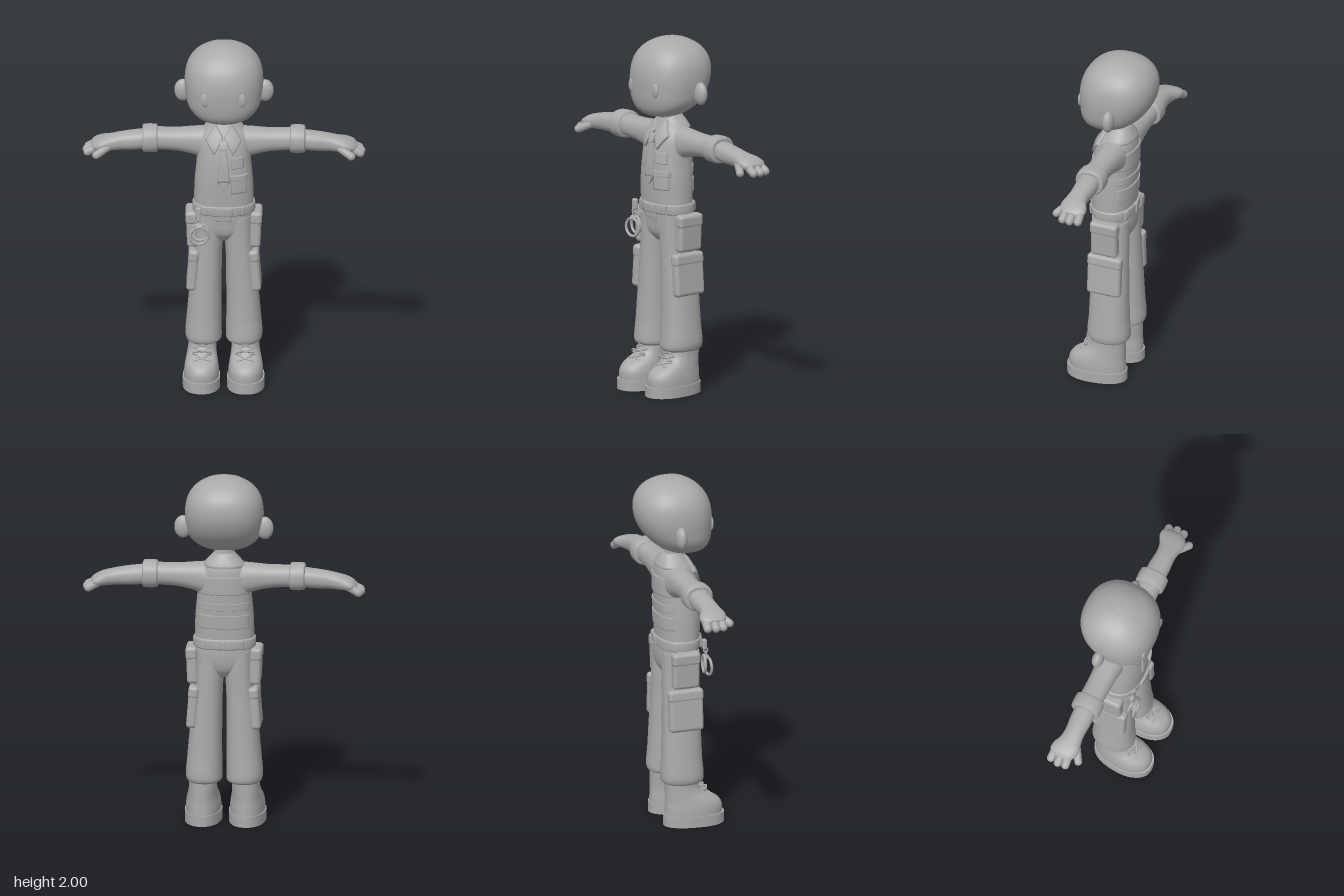
import * as THREE from 'three';
import { RoundedBoxGeometry } from 'three/addons/geometries/RoundedBoxGeometry.js';

const P = 2.3; // roundness of the oval cross-sections

// Smoothly read a section list [t, u0, u1, v0, v1] at position t
function sample(S, t) {
  let i = 0;
  while (i < S.length - 2 && t > S[i + 1][0]) i++;
  const slope = (k, c) => {
    const a = S[Math.max(k - 1, 0)], b = S[Math.min(k + 1, S.length - 1)];
    return (b[c] - a[c]) / (b[0] - a[0]);
  };
  const h = S[i + 1][0] - S[i][0], f = Math.min(1, Math.max(0, (t - S[i][0]) / h)), g = 1 - f;
  return [1, 2, 3, 4].map(c => S[i][c] * (1 + 2 * f) * g * g + S[i + 1][c] * f * f * (3 - 2 * f)
    + h * f * g * (slope(i, c) * g - slope(i + 1, c) * f));
}

// Closed body through oval sections; along 'y' (u = x, v = z) or 'x' (u = z, v = y)
function loft(S, axis = 'y', n = 40, steps = 4) {
  const pos = [], idx = [], ts = [S[0][0]];
  for (let i = 1; i < S.length; i++)
    for (let k = 1; k <= steps; k++) ts.push(S[i - 1][0] + (S[i][0] - S[i - 1][0]) * k / steps);
  const put = (t, u, v) => axis === 'y' ? pos.push(u, t, v) : pos.push(t, v, u);
  const bend = c => Math.sign(c) * Math.abs(c) ** (2 / P);
  const ring = t => {
    const [u0, u1, v0, v1] = sample(S, t);
    for (let j = 0; j < n; j++) {
      const a = j / n * Math.PI * 2;
      put(t, (u0 + u1) / 2 + (u1 - u0) / 2 * bend(Math.cos(a)), (v0 + v1) / 2 + (v1 - v0) / 2 * bend(Math.sin(a)));
    }
  };
  ts.forEach(ring);
  for (let i = 0; i < ts.length - 1; i++)
    for (let j = 0; j < n; j++) {
      const a = i * n + j, b = i * n + (j + 1) % n;
      idx.push(a, a + n, b, b, a + n, b + n);
    }
  for (const end of [0, 1]) { // sharp caps
    const t = ts[end ? ts.length - 1 : 0], s = pos.length / 3, q = sample(S, t);
    ring(t);
    put(t, (q[0] + q[1]) / 2, (q[2] + q[3]) / 2);
    for (let j = 0; j < n; j++) {
      const a = s + j, b = s + (j + 1) % n;
      end ? idx.push(a, s + n, b) : idx.push(a, b, s + n);
    }
  }
  return build(pos, idx);
}

function build(pos, idx) {
  const g = new THREE.BufferGeometry();
  g.setAttribute('position', new THREE.Float32BufferAttribute(pos, 3));
  g.setIndex(idx);
  g.computeVertexNormals();
  return g;
}

// Depth of a lofted body's front (side 1) or back (side -1) at x, y
function depth(S, x, y, side = 1) {
  const [u0, u1, v0, v1] = sample(S, y);
  const q = Math.min(0.995, Math.abs(x - (u0 + u1) / 2) / ((u1 - u0) / 2));
  return (v0 + v1) / 2 + side * (v1 - v0) / 2 * (1 - q ** P) ** (1 / P);
}

// Raised panel laid over a body; corners run bottom left, bottom right, top right, top left
function drape(S, [a, b, c, d], lift, side = 1, n = 16) {
  const pos = [], idx = [], mix = (p, q, f) => p + (q - p) * f;
  const at = k => k === 0 || k === 1 ? 0 : k >= n ? 1 : (k - 1) / (n - 2);
  for (let i = 0; i <= n; i++)
    for (let j = 0; j <= n; j++) {
      const f = at(j), g = at(i), rim = i === 0 || j === 0 || i === n || j === n;
      const x = mix(mix(a[0], b[0], f), mix(d[0], c[0], f), g);
      const y = mix(mix(a[1], b[1], f), mix(d[1], c[1], f), g);
      pos.push(x, y, depth(S, x, y, side) + side * (rim ? -0.008 : lift));
      if (i < n && j < n) {
        const k = i * (n + 1) + j, r = k + n + 1;
        side > 0 ? idx.push(k, k + 1, r, r, k + 1, r + 1) : idx.push(k, r, k + 1, r, r + 1, k + 1);
      }
    }
  return build(pos, idx);
}
const rect = (x0, x1, y0, y1) => [[x0, y0], [x1, y0], [x1, y1], [x0, y1]];

// Copy of a geometry reflected across x = 0
function mirrored(geo) {
  const g = (geo.index ? geo.toNonIndexed() : geo.clone()).scale(-1, 1, 1);
  const idx = [];
  for (let i = 0; i < g.attributes.position.count; i += 3) idx.push(i, i + 2, i + 1);
  g.setIndex(idx);
  return g;
}

const ball = (x, y, z, rx, ry, rz) => new THREE.SphereGeometry(1, 32, 20).scale(rx, ry, rz).translate(x, y, z);
const pad = (x, y, z, w, h, d, tilt = 0, r = 0.02) => new RoundedBoxGeometry(w, h, d, 4, r).rotateZ(tilt).translate(x, y, z);
const tube = (pts, r, n = 16) => new THREE.TubeGeometry(
  new THREE.CatmullRomCurve3(pts.map(p => new THREE.Vector3(...p))), n, r, 8);

// Rounded finger between two points
function finger(a, b, r) {
  const p = new THREE.Vector3(...a), d = new THREE.Vector3(...b).sub(p), len = d.length();
  const q = new THREE.Quaternion().setFromUnitVectors(new THREE.Vector3(0, 1, 0), d.clone().normalize());
  return new THREE.CapsuleGeometry(r, len, 8, 16).applyQuaternion(q).translate(...p.addScaledVector(d, 0.5).toArray());
}

const HEAD = [[1.562, -.02, .02, .04, .08], [1.572, -.09, .09, -.03, .13], [1.60, -.15, .15, -.09, .168],
  [1.65, -.195, .195, -.155, .188], [1.72, -.213, .213, -.205, .196], [1.80, -.218, .218, -.23, .196],
  [1.88, -.203, .203, -.223, .176], [1.94, -.162, .162, -.185, .133], [1.98, -.1, .1, -.125, .072],
  [1.995, -.05, .05, -.075, .025], [2, -.004, .004, -.03, -.02]];
const TORSO = [[1.06, -.166, .166, -.105, .125], [1.2, -.162, .162, -.11, .13], [1.32, -.151, .151, -.115, .126],
  [1.42, -.146, .146, -.115, .109], [1.47, -.135, .135, -.11, .088], [1.51, -.1, .1, -.096, .066], [1.55, -.058, .058, -.075, .045]];
const HIPS = [[.855, -.06, .06, -.07, .07], [.9, -.14, .14, -.1, .103], [.97, -.165, .165, -.112, .113], [1.06, -.168, .168, -.108, .12]];
const BELT = [[1.018, -.168, .168, -.11, .122], [1.024, -.174, .174, -.116, .128], [1.07, -.174, .174, -.116, .13], [1.076, -.168, .168, -.11, .124]];
const LEG = [[.243, .03, .195, -.1, .1], [.255, .014, .208, -.117, .117], [.29, .012, .214, -.122, .12], [.38, .013, .207, -.116, .113],
  [.56, .013, .191, -.11, .108], [.76, .01, .171, -.105, .105], [.88, .003, .164, -.105, .106], [1, .003, .16, -.105, .108]];
const BOOT = [[.05, .022, .223, -.104, .226], [.1, .023, .222, -.102, .226], [.135, .028, .217, -.1, .207], [.16, .032, .212, -.1, .17],
  [.185, .035, .207, -.1, .125], [.22, .036, .203, -.1, .095], [.27, .036, .203, -.1, .085]];
const SOLE = [[0, .016, .23, -.11, .238], [.06, .016, .23, -.11, .238]];
const SLEEVE = [[.08, -.1, .065, 1.31, 1.505], [.16, -.092, .055, 1.34, 1.5], [.26, -.086, .048, 1.363, 1.492], [.4, -.088, .046, 1.372, 1.494]];
const CUFF = [[.367, -.095, .05, 1.365, 1.495], [.374, -.104, .06, 1.356, 1.505], [.445, -.104, .06, 1.356, 1.505], [.452, -.095, .05, 1.365, 1.495]];
const FOREARM = [[.4, -.08, .037, 1.378, 1.486], [.5, -.081, .04, 1.366, 1.475], [.58, -.075, .036, 1.365, 1.463], [.63, -.082, .042, 1.362, 1.451],
  [.68, -.104, .05, 1.362, 1.437], [.72, -.102, .034, 1.362, 1.418], [.74, -.07, .01, 1.375, 1.398]];

export function createModel() {
  const model = new THREE.Group();
  const grey = new THREE.MeshStandardMaterial({ color: 0xaaaaaa });
  grey.name = 'plain grey';
  const add = (name, geo) => {
    const m = new THREE.Mesh(geo, grey);
    m.name = name;
    model.add(m);
  };
  const pair = (name, geo) => { add(name + 'Left', geo); add(name + 'Right', mirrored(geo)); };

  // Head
  add('head', loft(HEAD, 'y', 56, 5));
  add('neck', loft([[1.48, -.06, .06, -.07, .045], [1.6, -.052, .052, -.06, .05]]));
  pair('ear', ball(.228, 1.71, -.045, .048, .064, .032));
  pair('eye', ball(.1, 1.735, depth(HEAD, .1, 1.735) - .004, .027, .041, .012).rotateY(0));

  // Shirt, collar and tie
  add('shirt', loft(TORSO));
  add('collarBand', loft([[1.485, -.112, .112, -.113, .07], [1.5, -.113, .113, -.112, .062], [1.55, -.068, .068, -.086, .042], [1.562, -.058, .058, -.076, .035]]));
  pair('collarLeaf', drape(TORSO, [[.004, 1.48], [.052, 1.385], [.1, 1.46], [.045, 1.545]], .016));
  add('tieKnot', drape(TORSO, [[-.016, 1.415], [.016, 1.415], [.026, 1.468], [-.026, 1.468]], .02));
  add('tieBlade', drape(TORSO, [[-.036, 1.225], [.036, 1.225], [.015, 1.42], [-.015, 1.42]], .01));
  add('tieTip', drape(TORSO, [[-.003, 1.185], [.003, 1.185], [.036, 1.228], [-.036, 1.228]], .01));
  add('chestPocket', drape(TORSO, rect(.042, .13, 1.16, 1.262), .014));
  add('chestPocketFlap', drape(TORSO, rect(.04, .132, 1.235, 1.266), .019));
  add('chestBadge', drape(TORSO, rect(.042, .112, 1.305, 1.368), .008));
  for (const [y0, y1] of [[1.335, 1.435], [1.245, 1.285], [1.14, 1.215]])
    add('backPanel', drape(TORSO, rect(-.143, .143, y0, y1), .007, -1, 24));

  // Arms and hands
  pair('sleeve', loft(SLEEVE, 'x'));
  pair('sleeveCuff', loft(CUFF, 'x'));
  pair('forearm', loft(FOREARM, 'x'));
  for (const [z, x] of [[-.082, .752], [-.036, .762], [.008, .757]])
    pair('finger', finger([.68, 1.397, z * .9 - .003], [x, 1.357, z], .023));
  pair('thumb', finger([.64, 1.393, .022], [.708, 1.358, .064], .022));

  // Belt and its fittings
  add('belt', loft(BELT));
  add('buckle', drape(BELT, rect(-.05, .05, 1.022, 1.072), .01));
  add('buckleDrop', drape(HIPS, rect(-.045, .045, .992, 1.022), .012));
  for (const side of [1, -1])
    pair('beltLoop', drape(BELT, rect(.095, .115, 1.02, 1.075), .008, side));
  add('rearBeltLoop', drape(BELT, rect(-.012, .012, 1.02, 1.075), .008, -1));
  add('fly', drape(HIPS, [[.004, .885], [.025, .9], [.036, .995], [.004, .995]], .005));

  // Trousers and pockets
  add('hips', loft(HIPS));
  pair('trouserLeg', loft(LEG));
  pair('hipPocket', pad(.176, .912, -.002, .062, .2, .155, -.04));
  pair('hipPocketFlap', pad(.18, .985, -.002, .066, .075, .163, -.04));
  pair('thighPocket', pad(.172, .68, 0, .056, .24, .198, .08));
  pair('thighPocketFlap', pad(.167, .765, 0, .058, .07, .204, .08));

  // Handcuffs hanging from the belt
  const hoop = (r, t, x, y, z, turn) => new THREE.TorusGeometry(r, t, 10, 36).rotateY(turn).translate(x, y, z);
  add('handcuffFront', hoop(.05, .008, -.135, .912, .145, .1));
  add('handcuffBack', hoop(.048, .008, -.132, .925, .123, -.15));
  add('handcuffLock', pad(-.135, .966, .135, .045, .022, .026, 0, .008));
  for (const i of [0, 1, 2])
    add('chainLink', hoop(.012, .004, -.14, .988 + i * .018, .13, i % 2 ? Math.PI / 2 : 0));
  add('cuffHanger', pad(-.14, 1.042, .122, .032, .06, .025, 0, .008));

  // Boots: heels narrower than toes
  const narrowHeel = geo => {
    const p = geo.attributes.position;
    for (let i = 0; i < p.count; i++) {
      const f = .86 + .14 * Math.min(1, Math.max(0, (p.getZ(i) + .11) / .24));
      p.setX(i, .122 + (p.getX(i) - .122) * f);
    }
    geo.computeVertexNormals();
    return geo;
  };
  pair('boot', narrowHeel(loft(BOOT)));
  pair('bootSole', narrowHeel(loft(SOLE, 'y', 48, 1)));
  const lace = (y0, y1, s) => tube([-1, -.5, 0, .5, 1].map(k => {
    const x = .12 + k * s * .05, y = (y0 + y1) / 2 + (y1 - y0) / 2 * k;
    return [x, y, depth(BOOT, x, y) + .004];
  }), .005);
  for (const y of [.165, .195, .222])
    for (const s of [1, -1]) pair('lace', lace(y, y + .026, s));
  for (const s of [1, -1])
    pair('laceBow', tube([[.12, .205, .112], [.12 + s * .025, .215, .13], [.12 + s * .05, .2, .118], [.12 + s * .02, .195, .122]], .005));
  return model;
}
